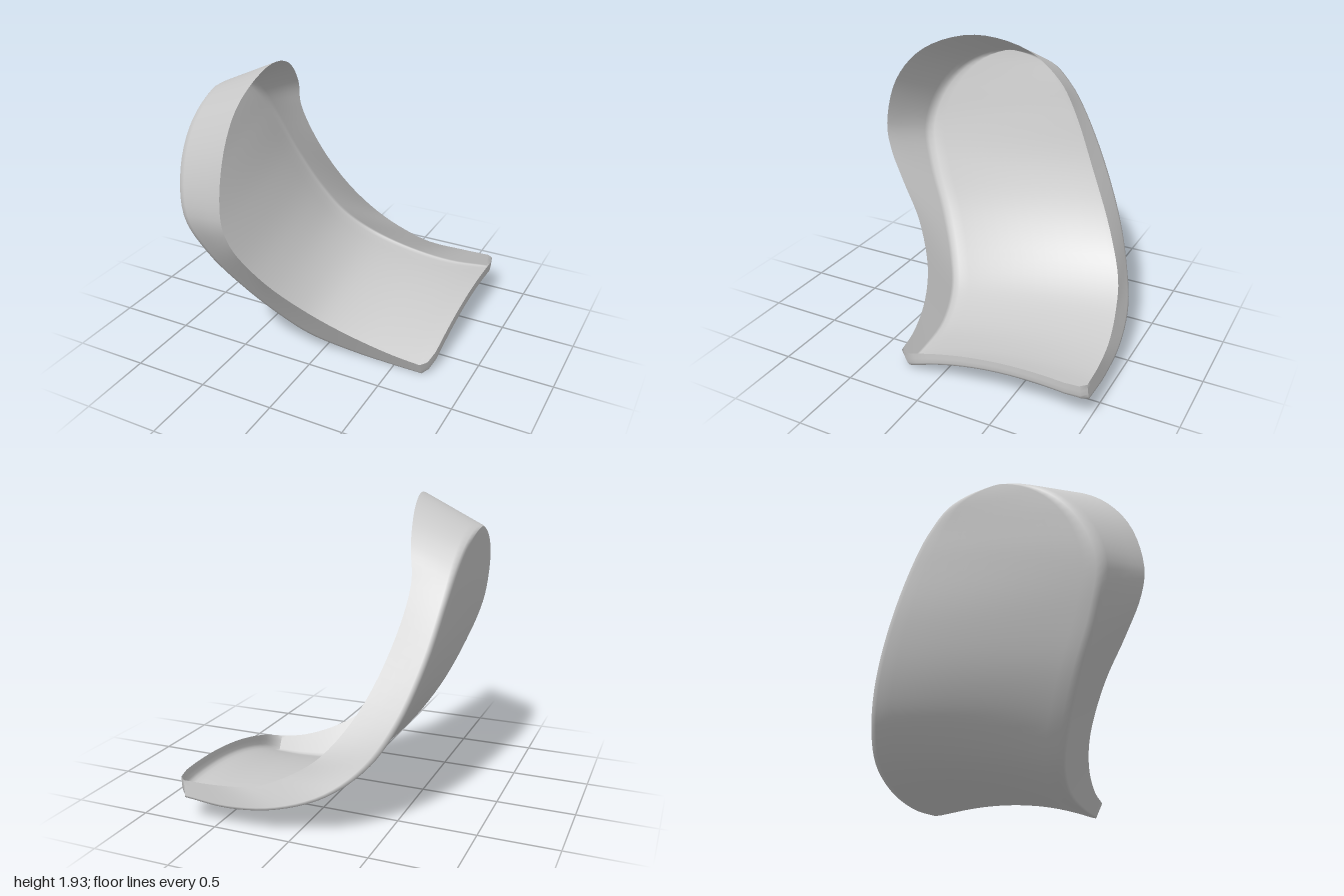
import * as THREE from 'three';
import { mergeVertices } from 'three/addons/utils/BufferGeometryUtils.js';

// Edge of the curved panel and the free rim of its wall, paired point by point:
// from the front corner of the low end, over the rounded tip, to the back corner.
const PANEL_EDGE = [
  [0.7, 0, 0.25], [0.5, 0, 0.25], [0.2, 0.025, 0.27], [-0.08, 0.125, 0.35], [-0.25, 0.285, 0.45],
  [-0.43, 0.55, 0.61], [-0.56, 0.85, 0.78], [-0.65, 1.12, 0.865], [-0.71, 1.4, 0.78], [-0.75, 1.62, 0.58],
  [-0.775, 1.74, 0.27],
  [-0.78, 1.69, -0.06], [-0.76, 1.56, -0.22], [-0.735, 1.38, -0.35], [-0.675, 1.03, -0.54], [-0.57, 0.7, -0.7],
  [-0.43, 0.46, -0.81], [-0.22, 0.285, -0.91], [0.08, 0.175, -0.97], [0.4, 0.135, -0.99], [0.7, 0.16, -1],
];
const RIM = [
  [0.7, 0.1, 0.3], [0.52, 0.13, 0.32], [0.28, 0.22, 0.38], [0.07, 0.36, 0.48], [-0.12, 0.6, 0.66],
  [-0.2, 0.83, 0.83], [-0.25, 1.05, 0.96], [-0.275, 1.23, 1], [-0.295, 1.56, 0.92], [-0.325, 1.8, 0.71],
  [-0.355, 1.935, 0.32],
  [-0.42, 1.86, -0.04], [-0.47, 1.67, -0.25], [-0.51, 1.46, -0.35], [-0.45, 1.1, -0.52], [-0.32, 0.75, -0.71],
  [-0.14, 0.5, -0.85], [0.05, 0.37, -0.91], [0.25, 0.29, -0.95], [0.5, 0.27, -0.98], [0.71, 0.27, -0.99],
];

const curve = (list) => new THREE.CatmullRomCurve3(list.map((p) => new THREE.Vector3(...p)), false, 'centripetal');
const mix = (a, b, t) => a.clone().lerp(b, t);

export function createModel() {
  const edge = curve(PANEL_EDGE);
  const rim = curve(RIM);
  const ROWS = 50; // from the low end to the tip
  const WALL = [1, 0.7, 0.4, 0.14, 0.04]; // heights up the wall
  const ACROSS = 14; // divisions of the panel
  const rows = [];

  // How far each point lies across the panel, 0 to 1, with a narrow soft fold at both sides
  const across = (width) => {
    const inset = Math.min(0.035 / Math.max(width, 1e-4), 0.2);
    return Array.from({ length: ACROSS + 1 }, (_, k) => inset + (1 - 2 * inset) * k / ACROSS);
  };

  // Cross-sections: front wall down, across the arched panel, back wall up.
  // Curve points are paired by control point, so both ends of a row match.
  for (let i = 0; i <= ROWS; i++) {
    const t = i / ROWS / 2;
    const [pa, pb] = [edge.getPoint(t), edge.getPoint(1 - t)];
    const [ra, rb] = [rim.getPoint(t), rim.getPoint(1 - t)];
    const inward = ra.clone().add(rb).sub(pa).sub(pb).normalize();
    const arch = 0.095 * (1 - 2 * t) ** 1.6;
    const floor = across(pa.distanceTo(pb)).map((s) => mix(pa, pb, s).addScaledVector(inward, arch * 4 * s * (1 - s)));
    rows.push([
      ...WALL.map((h) => mix(pa, ra, h)),
      ...floor,
      ...WALL.map((h) => mix(pb, rb, h)).reverse(),
    ]);
  }

  // Low end wall with rounded corners, folded up from the first cross-section
  const first = rows[0];
  const count = first.length;
  const [ra, rb] = [first[0], first[count - 1]];
  const spread = [...WALL.map(() => 0), ...across(ra.distanceTo(rb)), ...WALL.map(() => 1)];
  for (const h of [0.06, 0.18, 0.35, 0.65, 1]) {
    rows.unshift(first.map((p, k) => {
      const s = spread[k];
      const top = mix(ra, rb, s);
      top.y += 0.08 * 4 * s * (1 - s);
      const q = mix(p, top, h);
      const fold = Math.sqrt(1 - (1 - Math.min(1, h / 0.35)) ** 2);
      q.x += 0.06 * fold * (1 - Math.abs(2 * s - 1) ** 20);
      return q;
    }));
  }

  const positions = rows.flat().flatMap((p) => [p.x, p.y, p.z]);
  const index = [];
  for (let i = 0; i < rows.length - 1; i++) {
    for (let k = 0; k < count - 1; k++) {
      const a = i * count + k;
      const b = a + count;
      index.push(a, a + 1, b, a + 1, b + 1, b);
    }
  }
  let geometry = new THREE.BufferGeometry();
  geometry.setAttribute('position', new THREE.Float32BufferAttribute(positions, 3));
  geometry.setIndex(index);
  geometry = mergeVertices(geometry, 1e-4);
  geometry.computeVertexNormals();

  const shell = new THREE.Mesh(
    geometry,
    new THREE.MeshStandardMaterial({ color: 0xcccccc, side: THREE.DoubleSide }),
  );
  shell.name = 'curvedShell';
  const model = new THREE.Group();
  model.name = 'curvedScoop';
  model.add(shell);
  return model;
}
